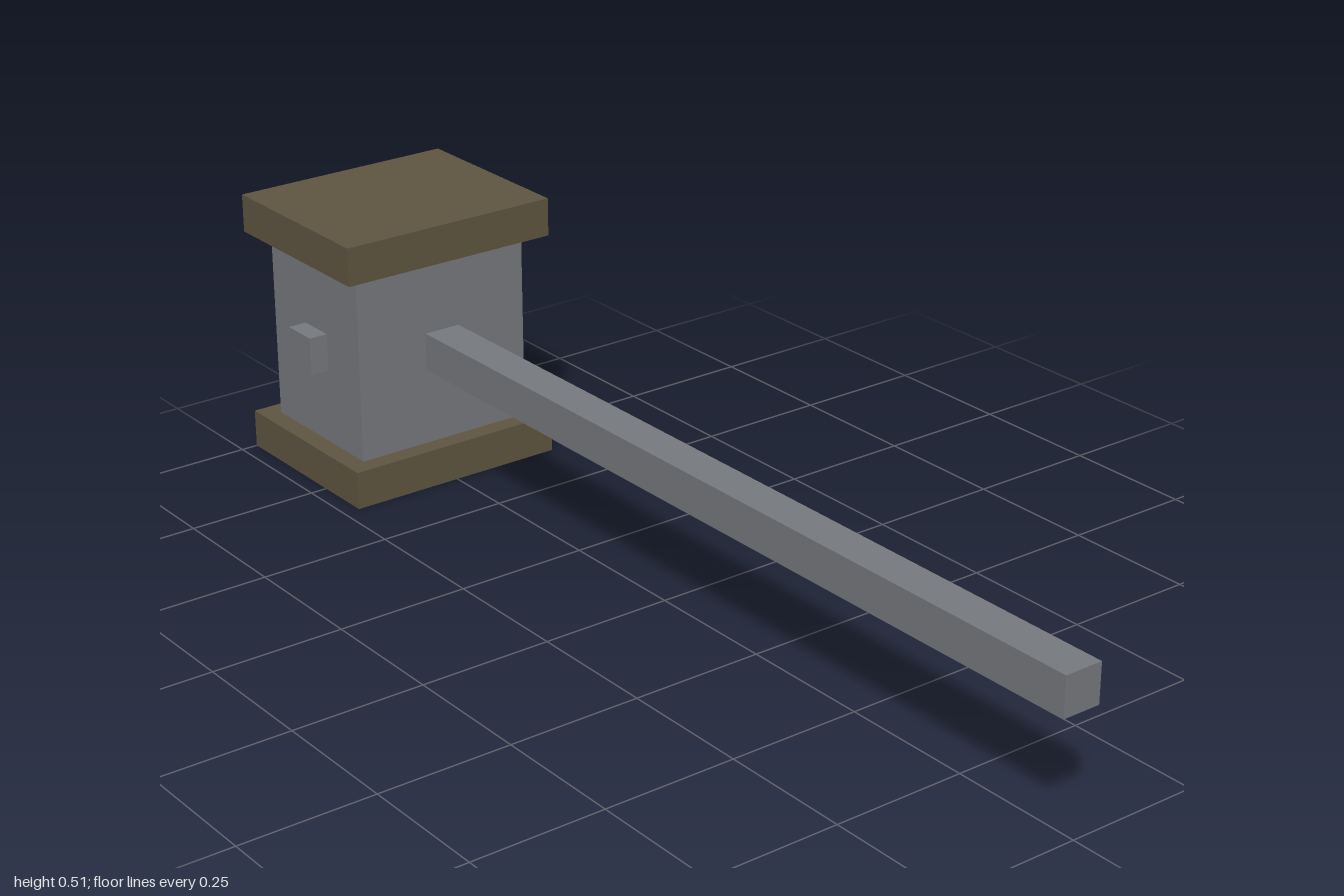
import * as THREE from 'three';

const U = 2 / 55; // modelling unit: the whole hammer is 55 units long

export function createModel() {
  const group = new THREE.Group();
  group.name = 'hammer';

  const steel = new THREE.MeshStandardMaterial({ color: 0x76797e });
  steel.name = 'grey steel';
  const bronze = new THREE.MeshStandardMaterial({ color: 0x5f5540 });
  bronze.name = 'dark bronze';

  // Box sized and centred in units
  const box = (name, material, [w, h, d], [x, y, z]) => {
    const mesh = new THREE.Mesh(new THREE.BoxGeometry(w * U, h * U, d * U), material);
    mesh.position.set(x * U, y * U, z * U);
    mesh.name = name;
    group.add(mesh);
  };

  const headZ = -22.5;

  // Head block between two striking plates
  box('headBlock', steel, [10, 10, 8], [0, 7, headZ]);
  box('lowerPlate', bronze, [12, 2, 10], [0, 1, headZ]);
  box('upperPlate', bronze, [12, 2, 10], [0, 13, headZ]);

  // Square pegs on both sides of the head
  for (const side of [1, -1]) {
    box(side > 0 ? 'leftPeg' : 'rightPeg', steel, [1, 2, 2], [side * 5.5, 7, headZ]);
  }

  // Handle running from the head to the front end
  box('handle', steel, [2, 2, 46], [0, 7, 4.5]);

  return group;
}
